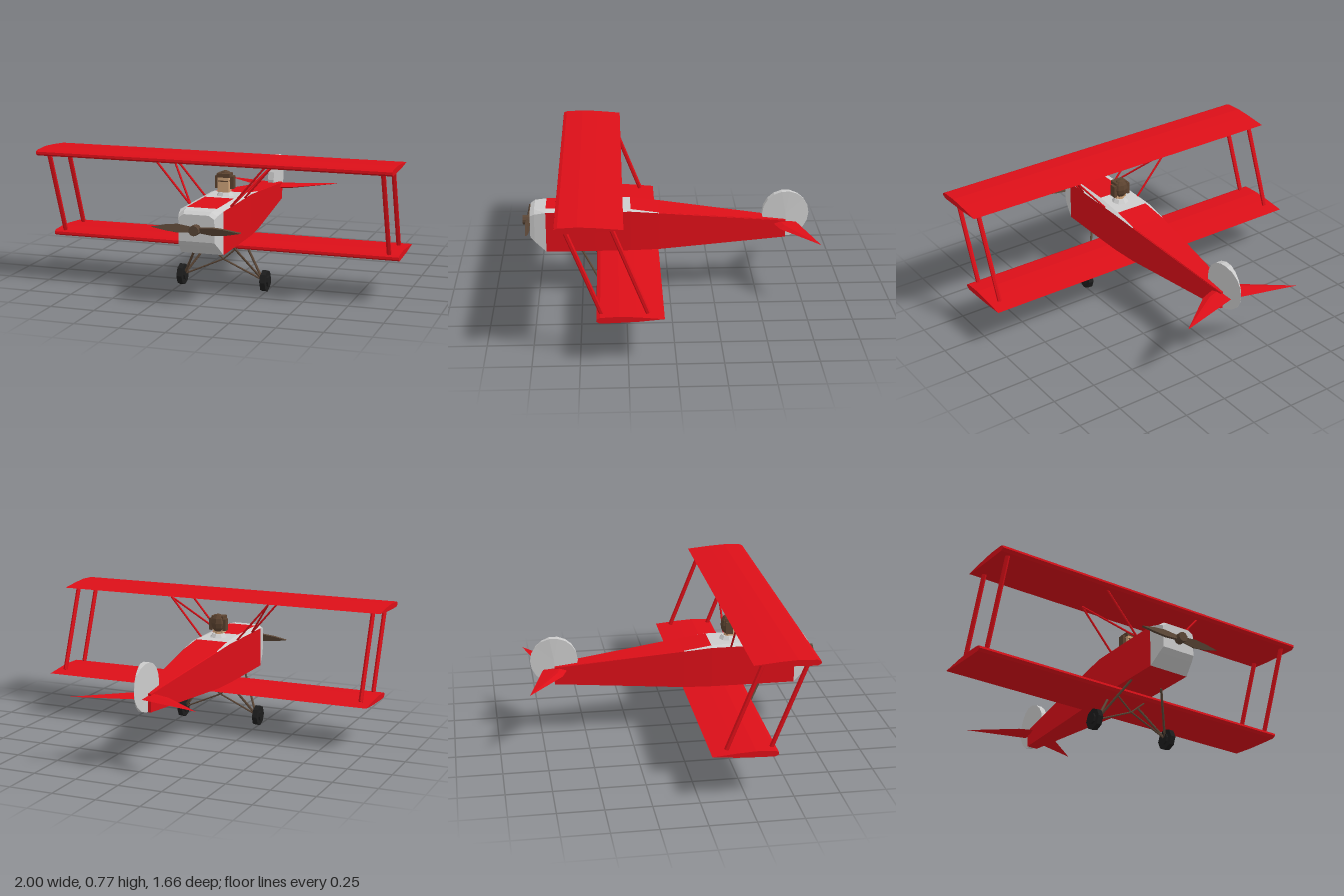
import * as THREE from 'three';
import { ConvexGeometry } from 'three/addons/geometries/ConvexGeometry.js';

const mat = (color) => new THREE.MeshStandardMaterial({ color, flatShading: true });
const V = (x, y, z) => new THREE.Vector3(x, y, z);

// Hexagonal fuselage ring, counter-clockwise from the front; k is the deck's share of the width
const ring = (z, w, bottom, shoulder, top, k = 0.7) => [
  V(w, bottom, z), V(w, shoulder, z), V(w * k, top, z),
  V(-w * k, top, z), V(-w, shoulder, z), V(-w, bottom, z),
];

// Skin rings from front to back, keeping only the chosen sides
function loft(rings, sides = [0, 1, 2, 3, 4, 5], capFront = false, capBack = false) {
  const pts = [];
  for (let i = 0; i < rings.length - 1; i++) {
    for (const j of sides) {
      const n = (j + 1) % 6;
      const a = rings[i][j], b = rings[i][n], c = rings[i + 1][n], d = rings[i + 1][j];
      pts.push(a, d, b, b, d, c);
    }
  }
  const front = rings[0], back = rings[rings.length - 1];
  for (let j = 1; j < 5; j++) {
    if (capFront) pts.push(front[0], front[j], front[j + 1]);
    if (capBack) pts.push(back[0], back[j + 1], back[j]);
  }
  const geo = new THREE.BufferGeometry().setFromPoints(pts);
  geo.computeVertexNormals();
  return geo;
}

export function createModel() {
  const model = new THREE.Group();
  model.name = 'biplane';
  const red = mat(0xdc0f18), grey = mat(0xcccccc), brown = mat(0x5a4636);
  const black = mat(0x1c1c1c), skin = mat(0xd2a67c), leather = mat(0x5c4330);

  const add = (name, geo, material, x = 0, y = 0, z = 0, parent = model) => {
    const mesh = new THREE.Mesh(geo, material);
    mesh.name = name;
    mesh.position.set(x, y, z);
    parent.add(mesh);
    return mesh;
  };
  // Straight rod between two points
  const rod = (name, a, b, r, material, sides = 6) => {
    const dir = b.clone().sub(a);
    const mesh = add(name, new THREE.CylinderGeometry(r, r, dir.length(), sides), material);
    mesh.position.copy(a).add(b).multiplyScalar(0.5);
    mesh.quaternion.setFromUnitVectors(V(0, 1, 0), dir.normalize());
    return mesh;
  };

  // Fuselage: red panels, grey shoulders and cockpit deck
  const r70 = ring(0.70, 0.12, 0.277, 0.512, 0.525);
  const r42 = ring(0.42, 0.12, 0.277, 0.512, 0.525);
  const r22 = ring(0.22, 0.118, 0.277, 0.512, 0.52, 0.82);
  const r06 = ring(0.06, 0.106, 0.277, 0.495, 0.498, 0.95);
  const r67 = ring(-0.67, 0.033, 0.312, 0.41, 0.415, 0.95);
  add('fuselageSides', loft([r70, r42, r22, r06, r67], [0, 4, 5], false, true), red);
  add('noseDeck', loft([r70, r42], [2]), red);
  add('cockpitDeck', loft([r42, r22], [2]), grey);
  add('rearDeck', loft([r22, r06, r67], [2]), red);
  add('shoulders', loft([r70, r42, r22, r06], [1, 3]), grey);
  add('rearShoulders', loft([r06, r67], [1, 3]), red);

  // Engine cowl with sloping chin
  add('cowl', loft([
    ring(0.79, 0.10, 0.36, 0.485, 0.505),
    ring(0.765, 0.108, 0.335, 0.498, 0.52),
    r70,
  ], undefined, true), grey);

  // Propeller
  const hub = add('propellerHub', new THREE.CylinderGeometry(0.028, 0.028, 0.05, 10), brown, 0, 0.428, 0.81);
  hub.rotation.x = Math.PI / 2;
  const leaf = new THREE.Shape([[0, -0.012], [0.1, -0.026], [0.17, -0.018], [0.25, 0], [0.17, 0.013], [0.1, 0.02], [0, 0.012]]
    .map(([x, y]) => new THREE.Vector2(x, y)));
  for (const turn of [0, Math.PI]) {
    const blade = new THREE.ExtrudeGeometry(leaf, { depth: 0.012, bevelEnabled: false });
    blade.translate(0, 0, -0.006).rotateX(0.3).rotateZ(turn);
    add('propellerBlade', blade, brown, 0, 0.428, 0.805);
  }

  // Wings: one aerofoil profile (z, y) swept along the span
  const foil = new THREE.Shape([[0.62, 0.745], [0.618, 0.758], [0.6, 0.766], [0.5, 0.771], [0.41, 0.766],
    [0.268, 0.753], [0.4, 0.741], [0.5, 0.737], [0.6, 0.734]].map(([z, y]) => new THREE.Vector2(z, y)));
  const wing = new THREE.ExtrudeGeometry(foil, { depth: 2, bevelEnabled: false });
  wing.rotateY(-Math.PI / 2).translate(1, 0, 0);
  add('upperWing', wing, red);
  add('lowerWing', wing, red, 0, -0.495, -0.207);

  // Rudder: a disc thinned to an edge at the back
  const rudder = new THREE.CylinderGeometry(0.135, 0.135, 0.036, 18, 1);
  rudder.rotateZ(Math.PI / 2);
  const pos = rudder.attributes.position;
  for (let i = 0; i < pos.count; i++) {
    const z = pos.getZ(i);
    pos.setX(i, pos.getX(i) * THREE.MathUtils.clamp((z + 0.137) / 0.13, 0.01, 1));
  }
  rudder.computeVertexNormals();
  add('rudder', rudder, grey, 0, 0.448, -0.67);

  // Parts mirrored left and right
  for (const s of [1, -1]) {
    add('tailplane', new ConvexGeometry([
      V(0, 0.408, -0.63), V(0, 0.38, -0.63), V(0, 0.395, -0.73), V(0, 0.395, -0.6),
      V(s * 0.035, 0.395, -0.6), V(s * 0.12, 0.393, -0.63), V(s * 0.1, 0.406, -0.66),
      V(s * 0.1, 0.381, -0.66), V(s * 0.37, 0.394, -0.83),
    ]), red);

    // Slanted struts between the wing tips
    for (const dz of [0, -0.24]) {
      rod('wingStrut', V(s * 0.942, 0.74, 0.57 + dz), V(s * 0.942, 0.27, 0.385 + dz), 0.013, red);
    }

    // Braces from the fuselage to the upper wing
    for (const [z0, z1] of [[0.57, 0.57], [0.33, 0.33], [0.57, 0.33]]) {
      rod('wingBrace', V(s * 0.11, 0.505, z0), V(s * 0.31, 0.74, z1), 0.006, red);
    }

    // Undercarriage
    const axle = V(s * 0.23, 0.062, 0.355), joint = V(0, 0.165, 0.355);
    rod('frontLeg', V(s * 0.1, 0.28, 0.5), axle, 0.007, brown);
    rod('rearLeg', V(s * 0.1, 0.25, 0.275), axle, 0.007, brown);
    rod('innerLeg', V(s * 0.11, 0.26, 0.355), joint, 0.005, brown);
    rod('axleStay', joint, axle, 0.005, brown);
    const wheel = add('wheel', new THREE.CylinderGeometry(0.06, 0.06, 0.03, 8), black, s * 0.243, 0.06, 0.355);
    wheel.rotation.z = Math.PI / 2;
    const cap = add('wheelHub', new THREE.CylinderGeometry(0.032, 0.032, 0.05, 8), black, s * 0.243, 0.06, 0.355);
    cap.rotation.z = Math.PI / 2;
  }

  // Pilot
  const pilot = new THREE.Group();
  pilot.name = 'pilot';
  pilot.position.set(0.005, 0, 0.333);
  model.add(pilot);
  const part = (name, w, h, d, m, x, y, z) => add(name, new THREE.BoxGeometry(w, h, d), m, x, y, z, pilot);
  add('collar', new THREE.CylinderGeometry(0.035, 0.055, 0.025, 8), grey, 0, 0.53, 0, pilot);
  add('neck', new THREE.CylinderGeometry(0.022, 0.025, 0.04, 8), skin, 0, 0.545, 0, pilot);
  part('face', 0.064, 0.085, 0.05, skin, 0, 0.588, 0.013);
  const helmet = add('helmet', new THREE.SphereGeometry(1, 8, 6), leather, 0, 0.607, -0.006, pilot);
  helmet.scale.set(0.046, 0.056, 0.037);
  part('helmetBrim', 0.075, 0.022, 0.06, leather, 0, 0.638, 0.01);
  part('goggles', 0.056, 0.006, 0.004, leather, 0, 0.607, 0.039);
  for (const s of [1, -1]) part('earFlap', 0.018, 0.07, 0.04, leather, s * 0.044, 0.598, 0);

  return model;
}
